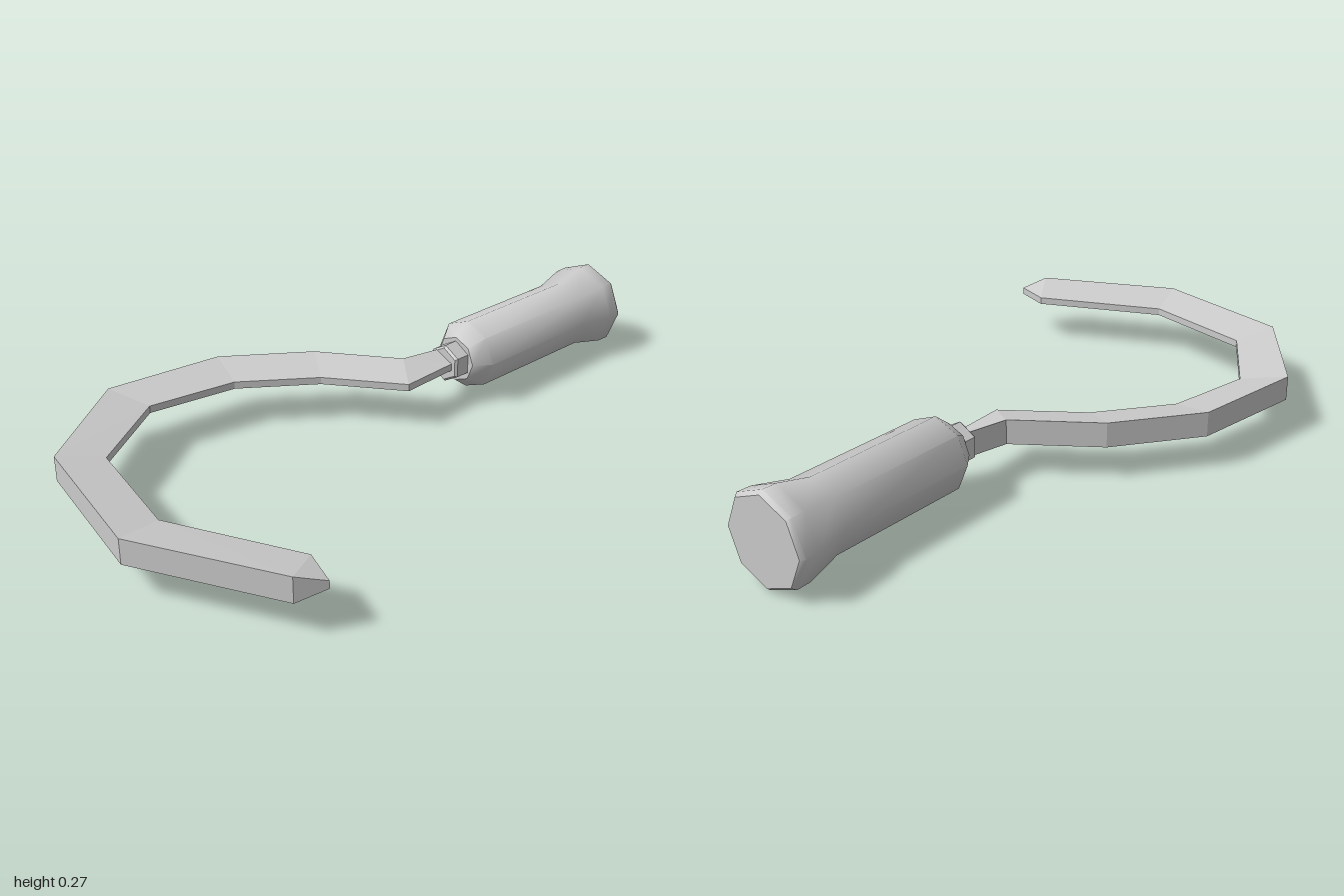
import * as THREE from 'three';
import { toCreasedNormals } from 'three/addons/utils/BufferGeometryUtils.js';

const AXIS_X = -0.063, AXIS_Y = 0.141;

// Turned part lying along z; profile is [radius, z] from back to front
function turned(name, profile, sides, crease, material) {
  const points = profile.map(([r, z]) => new THREE.Vector2(r, z));
  const geometry = new THREE.LatheGeometry(points, sides).rotateX(Math.PI / 2);
  const mesh = new THREE.Mesh(toCreasedNormals(geometry, crease), material);
  mesh.name = name;
  mesh.position.set(AXIS_X, AXIS_Y, 0);
  return mesh;
}

// Wedge-section blade: thick along the outer spine, thin along the inner cutting edge
function bladeGeometry() {
  const spine = 0.037, edge = 0.011;
  // [outer x, outer z, inner x, inner z, outer half height]
  const stations = [
    [-0.092, -0.31, -0.03, -0.31, spine],
    [-0.12, -0.18, -0.02, -0.105, spine],
    [-0.345, -0.02, -0.235, 0.05, spine],
    [-0.52, 0.215, -0.39, 0.255, spine],
    [-0.567, 0.575, -0.436, 0.525, spine],
    [-0.33, 0.9, -0.27, 0.78, spine],
    [0.118, 1.0, 0.08, 0.86, spine],
    [0.525, 0.805, 0.455, 0.69, spine],
    [0.566, 0.73, 0.566, 0.73, edge], // pointed tip
  ];
  const rings = stations.map(([ox, oz, ix, iz, h]) => [
    [ox, AXIS_Y + h, oz], [ix, AXIS_Y + edge, iz],
    [ix, AXIS_Y - edge, iz], [ox, AXIS_Y - h, oz],
  ]);
  const positions = [];
  const tri = (a, b, c) => positions.push(...a, ...b, ...c);
  for (let i = 0; i < rings.length - 1; i++) {
    const a = rings[i], b = rings[i + 1];
    for (let j = 0; j < 4; j++) {
      const k = (j + 1) % 4;
      tri(a[j], b[j], a[k]);
      tri(a[k], b[j], b[k]);
    }
  }
  // Tang end cap
  const [p, q, r, s] = rings[0];
  tri(p, q, r);
  tri(p, r, s);
  const geometry = new THREE.BufferGeometry();
  geometry.setAttribute('position', new THREE.Float32BufferAttribute(positions, 3));
  geometry.computeVertexNormals();
  return geometry;
}

export function createModel() {
  const group = new THREE.Group();
  group.name = 'sickle';
  const smooth = new THREE.MeshStandardMaterial({ color: 0xcccccc });
  const flat = new THREE.MeshStandardMaterial({ color: 0xcccccc, flatShading: true });

  // Eight-sided grip with a flared pommel and tapered neck
  group.add(turned('handle', [
    [0, -1], [0.127, -1], [0.137, -0.988], [0.136, -0.945],
    [0.11, -0.84], [0.11, -0.4], [0.072, -0.35], [0, -0.35],
  ], 8, 0.9, smooth));

  // Six-sided collar holding the tang
  group.add(turned('ferrule', [
    [0, -0.36], [0.06, -0.36], [0.06, -0.305], [0.053, -0.298], [0, -0.298],
  ], 6, 0.5, smooth));

  const blade = new THREE.Mesh(bladeGeometry(), flat);
  blade.name = 'blade';
  group.add(blade);
  return group;
}
